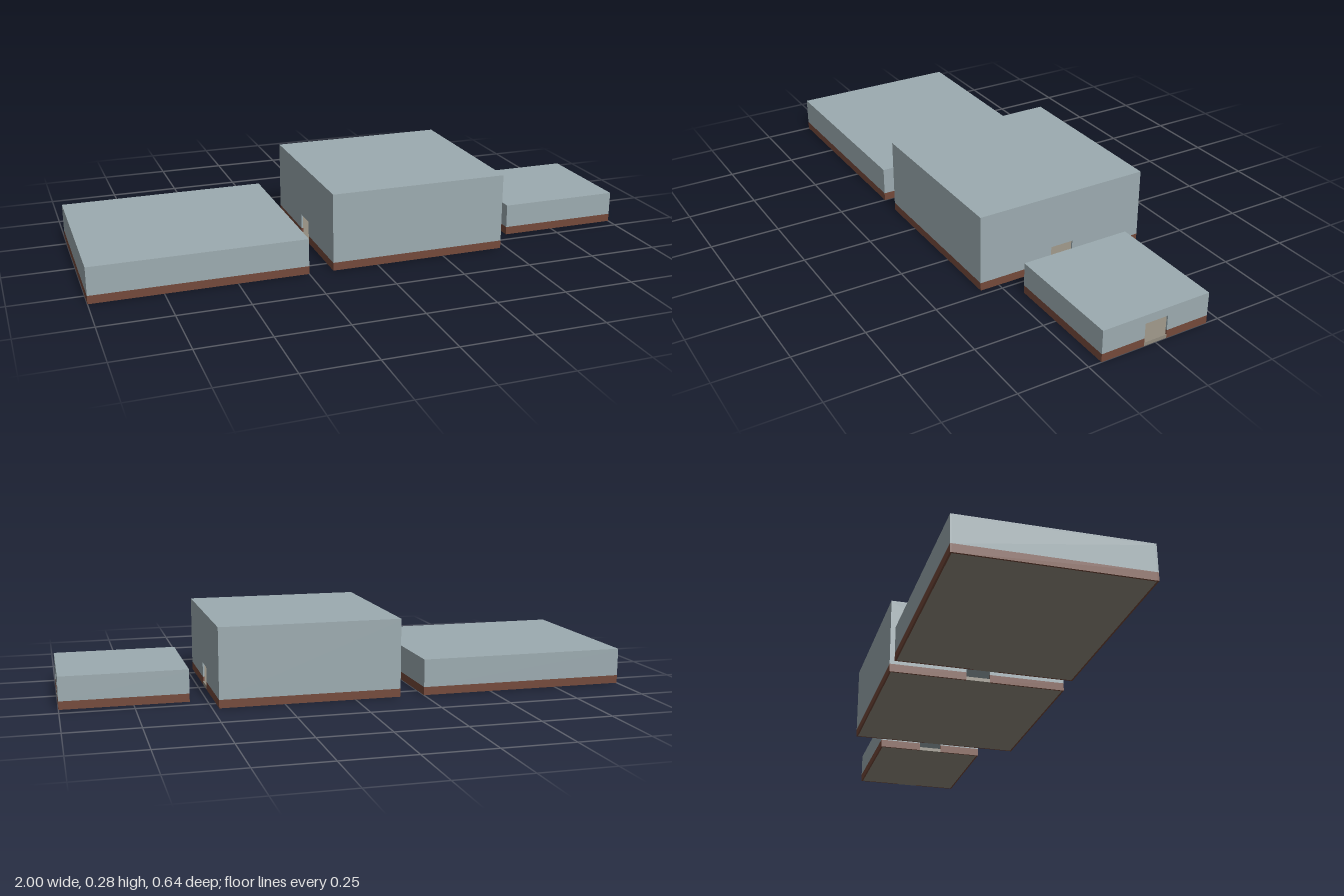
import * as THREE from 'three';

const mat = (name, color) => {
  const m = new THREE.MeshStandardMaterial({ color });
  m.name = name;
  return m;
};

const T = 0.006;         // wall thickness
const BASE = 0.029;      // top of the brown plinth
const FLOOR = 0.013;     // top of the floor slab
const DOOR_W = 0.043;    // half width of a doorway
const DOOR_H = 0.083;    // doorway head

export function createModel() {
  const wall = mat('blue grey wall', 0x9cabb0);
  const brown = mat('brown plinth', 0x74493a);
  const stone = mat('beige floor', 0x928c7f);
  const post = mat('taupe post', 0x82786e);
  const model = new THREE.Group();
  model.name = 'threeRooms';

  // box given by its min and max corners
  function box(parent, name, material, x0, x1, y0, y1, z0, z1) {
    const mesh = new THREE.Mesh(new THREE.BoxGeometry(x1 - x0, y1 - y0, z1 - z0), material);
    mesh.position.set((x0 + x1) / 2, (y0 + y1) / 2, (z0 + z1) / 2);
    mesh.name = name;
    parent.add(mesh);
  }

  // end wall standing across x, with an optional doorway at z = 0
  function endWall(g, x0, h, d, door) {
    const x1 = x0 + T, zi = d - T;
    if (!door) {
      box(g, 'endPlinth', brown, x0, x1, 0, BASE, -zi, zi);
      box(g, 'endWall', wall, x0, x1, BASE, h - T, -zi, zi);
      return;
    }
    for (const s of [-1, 1]) {
      const a = Math.min(s * DOOR_W, s * zi), b = Math.max(s * DOOR_W, s * zi);
      box(g, 'endPlinth', brown, x0, x1, 0, BASE, a, b);
    }
    const shape = new THREE.Shape();
    [[-zi, BASE], [-DOOR_W, BASE], [-DOOR_W, DOOR_H], [DOOR_W, DOOR_H],
      [DOOR_W, BASE], [zi, BASE], [zi, h - T], [-zi, h - T]]
      .forEach(([u, v], i) => (i ? shape.lineTo(u, v) : shape.moveTo(u, v)));
    const mesh = new THREE.Mesh(
      new THREE.ExtrudeGeometry(shape, { depth: T, bevelEnabled: false }), wall);
    mesh.rotation.y = Math.PI / 2;
    mesh.position.x = x0;
    mesh.name = 'doorWall';
    g.add(mesh);
    box(g, 'doorSill', stone, x0, x1, 0, FLOOR, -DOOR_W, DOOR_W);
  }

  function room(name, x0, x1, h, d, doorLow, doorHigh) {
    const g = new THREE.Group();
    g.name = name;
    model.add(g);
    box(g, 'floor', stone, x0 + T, x1 - T, 0, FLOOR, -d + T, d - T);
    box(g, 'roof', wall, x0, x1, h - T, h, -d, d);
    for (const z of [-d, d - T]) {
      box(g, 'longPlinth', brown, x0, x1, 0, BASE, z, z + T);
      box(g, 'longWall', wall, x0, x1, BASE, h - T, z, z + T);
    }
    endWall(g, x0, h, d, doorLow);
    endWall(g, x1 - T, h, d, doorHigh);
    return g;
  }

  room('lowRoom', -1, -0.25, 0.128, 0.32, false, true);
  const hall = room('tallHall', -0.163, 0.477, 0.277, 0.32, true, true);
  room('smallRoom', 0.56, 1, 0.114, 0.203, true, true);

  // slim post in the middle of the hall
  box(hall, 'centrePost', post, 0.152, 0.162, FLOOR, 0.047, -0.005, 0.005);
  return model;
}
